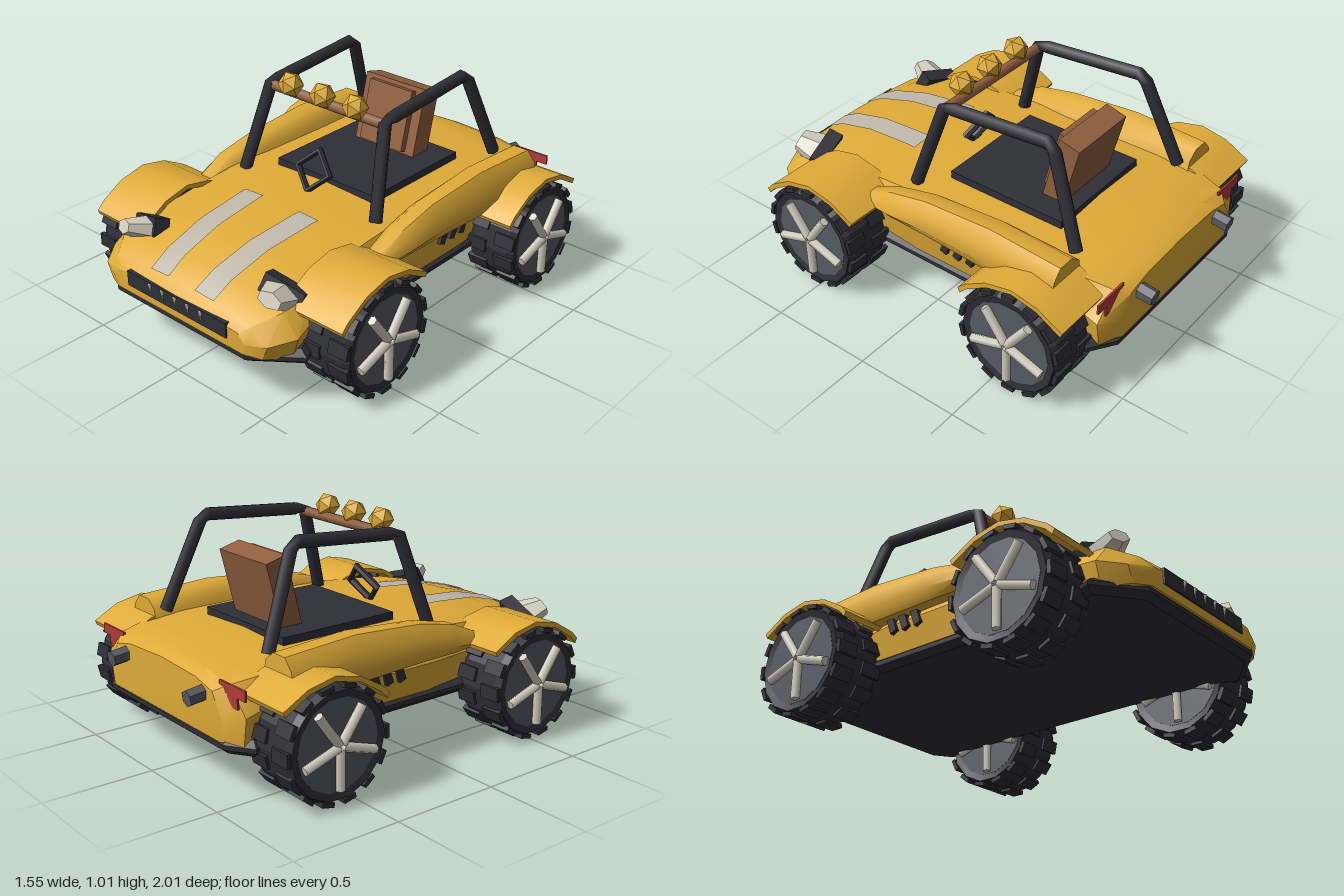
import * as THREE from 'three';
import { toCreasedNormals } from 'three/addons/utils/BufferGeometryUtils.js';

const mat = (name, color, extra = {}) => {
  const m = new THREE.MeshStandardMaterial({ color, ...extra });
  m.name = name;
  return m;
};

// Loft closed rings (counter-clockwise seen from +z) listed from front to back.
function loft(rings, crease = 0.5) {
  const pos = [];
  const tri = (...pts) => pts.forEach((p) => pos.push(p[0], p[1], p[2]));
  const n = rings[0].length;
  for (let k = 0; k + 1 < rings.length; k++) {
    const a = rings[k], b = rings[k + 1];
    for (let i = 0; i < n; i++) {
      const j = (i + 1) % n;
      tri(a[i], b[i], b[j]);
      tri(a[i], b[j], a[j]);
    }
  }
  const f = rings[0], r = rings[rings.length - 1];
  for (let i = 1; i + 1 < n; i++) {
    tri(f[0], f[i], f[i + 1]);
    tri(r[0], r[i + 1], r[i]);
  }
  const g = new THREE.BufferGeometry();
  g.setAttribute('position', new THREE.Float32BufferAttribute(pos, 3));
  return toCreasedNormals(g, crease);
}

export function createModel() {
  const car = new THREE.Group();
  car.name = 'buggy';
  const yellow = mat('yellow paint', 0xdfab38);
  const dark = mat('dark trim', 0x2f2f37);
  const brown = mat('brown leather', 0x91603f);
  const cream = mat('cream metal', 0xd6d1c2);
  const stripe = mat('pale stripe', 0xc0b9ab, { side: THREE.DoubleSide });
  const grey = mat('grey steel', 0x575b64);
  const red = mat('red lamp', 0xb03c3c);

  const add = (name, geo, material, p = [0, 0, 0], r = [0, 0, 0], parent = car) => {
    const m = new THREE.Mesh(geo, material);
    m.name = name;
    m.position.set(...p);
    m.rotation.set(...r);
    parent.add(m);
    return m;
  };
  const box = (x, y, z) => new THREE.BoxGeometry(x, y, z);
  const flat = (g) => toCreasedNormals(g, 0.1);
  // Tube along straight segments between the given points
  const tube = (name, pts, radius, material) => {
    const path = new THREE.CurvePath();
    const v = pts.map((p) => new THREE.Vector3(...p));
    for (let i = 0; i + 1 < v.length; i++) path.add(new THREE.LineCurve3(v[i], v[i + 1]));
    return add(name, new THREE.TubeGeometry(path, 24, radius, 7, false), material);
  };

  // Body: z, bottom width, bottom y, belt width, belt y, shoulder width, shoulder y, centre y
  const body = [
    [0.985, 0.38, 0.26, 0.40, 0.31, 0.36, 0.35, 0.37],
    [0.95, 0.46, 0.25, 0.49, 0.32, 0.41, 0.385, 0.41],
    [0.85, 0.53, 0.24, 0.56, 0.34, 0.48, 0.43, 0.465],
    [0.65, 0.50, 0.24, 0.52, 0.38, 0.46, 0.48, 0.52],
    [0.40, 0.49, 0.24, 0.51, 0.40, 0.46, 0.51, 0.545],
    [0.10, 0.51, 0.24, 0.54, 0.40, 0.46, 0.53, 0.55],
    [-0.30, 0.51, 0.24, 0.54, 0.40, 0.46, 0.53, 0.55],
    [-0.55, 0.49, 0.24, 0.51, 0.40, 0.46, 0.53, 0.55],
    [-0.75, 0.50, 0.24, 0.52, 0.40, 0.46, 0.51, 0.54],
    [-0.88, 0.52, 0.25, 0.54, 0.38, 0.43, 0.49, 0.525],
    [-0.93, 0.42, 0.26, 0.44, 0.36, 0.38, 0.46, 0.50],
  ];
  add('body', loft(body.map(([z, wb, y0, wm, ym, ws, ys, yc]) => {
    const half = [[wb, y0, z], [wm, ym, z], [ws, ys, z], [0.26, yc - 0.012, z]];
    return [...half, [0, yc, z], ...half.map(([x, y]) => [-x, y, z]).reverse()];
  })), yellow);

  // Octagonal floor pan
  const pan = new THREE.Shape([
    [0.38, 0.95], [0.55, 0.82], [0.5, 0.7], [0.5, -0.72], [0.53, -0.84], [0.44, -0.9],
    [-0.44, -0.9], [-0.53, -0.84], [-0.5, -0.72], [-0.5, 0.7], [-0.55, 0.82], [-0.38, 0.95],
  ].map(([x, z]) => new THREE.Vector2(x, -z)).reverse());
  add('floorPan', new THREE.ExtrudeGeometry(pan, {
    depth: 0.02, bevelThickness: 0.025, bevelSize: 0.03, bevelSegments: 1,
  }), dark, [0, 0.235, 0], [-Math.PI / 2, 0, 0]);

  // Bonnet stripes follow the body's top line
  const topY = (z) => {
    let i = 0;
    while (i < body.length - 2 && body[i + 1][0] > z) i++;
    const a = body[i], b = body[i + 1];
    return THREE.MathUtils.lerp(a[7], b[7], (a[0] - z) / (a[0] - b[0]));
  };
  for (const s of [1, -1]) {
    const zs = [0.95, 0.85, 0.65, 0.4, 0.36];
    const pos = [], idx = [];
    zs.forEach((z, i) => {
      const inner = 0.08 + (0.95 - z) * 0.05;
      for (const x of [inner, inner + 0.11]) pos.push(s * x, topY(z) - x * 0.046 + 0.007, z);
      const k = i * 2;
      if (i) idx.push(...(s > 0 ? [k - 2, k - 1, k, k - 1, k + 1, k] : [k - 2, k, k - 1, k - 1, k, k + 1]));
    });
    const g = new THREE.BufferGeometry();
    g.setAttribute('position', new THREE.Float32BufferAttribute(pos, 3));
    g.setIndex(idx);
    g.computeVertexNormals();
    add('bonnetStripe', g, stripe);
  }

  // Raised side pods: z, inner x, outer x, bottom y, top y
  const pods = [
    [0.37, 0.46, 0.57, 0.43, 0.48], [0.2, 0.44, 0.60, 0.43, 0.555], [0, 0.42, 0.605, 0.43, 0.595],
    [-0.35, 0.41, 0.615, 0.42, 0.62], [-0.71, 0.41, 0.62, 0.44, 0.60],
  ];
  // Arched fender outline: offset from the wheel centre in z, height
  const arch = [[0.265, 0.42], [0.23, 0.455], [0.12, 0.52], [-0.01, 0.55], [-0.14, 0.525], [-0.26, 0.46]];
  const fenderShape = new THREE.Shape([
    ...arch, ...arch.map(([z, y]) => [z * 0.96, y - 0.022]).reverse(),
  ].map((p) => new THREE.Vector2(...p)));
  const fender = new THREE.ExtrudeGeometry(fenderShape, { depth: 0.31, bevelEnabled: false });
  fender.rotateY(-Math.PI / 2).translate(0.155, 0, 0);
  const fenderGeo = toCreasedNormals(fender, 0.6);

  // Wheel parts, built around the x axis
  const tyreGeo = toCreasedNormals(new THREE.LatheGeometry([
    [0.19, -0.11], [0.232, -0.12], [0.248, -0.09], [0.248, 0.09], [0.232, 0.12], [0.19, 0.11],
  ].map((p) => new THREE.Vector2(...p)), 14), 0.3);
  tyreGeo.rotateZ(Math.PI / 2);
  const hubGeo = new THREE.CylinderGeometry(0.2, 0.2, 0.228, 14).rotateZ(Math.PI / 2);
  const spokeGeo = new THREE.CylinderGeometry(0.021, 0.021, 0.175, 6).translate(0, 0.098, 0);
  const lugGeo = box(0.1, 0.02, 0.06);

  for (const s of [1, -1]) {
    const side = s > 0 ? 'left' : 'right';
    add(side + 'SidePod', loft(pods.map(([z, xi, xo, yb, yt]) => {
      const h = yt - yb, w = xo - xi;
      const ring = [
        [xi, yb], [xo - 0.03, yb], [xo, yb + h * 0.3], [xo - w * 0.08, yb + h * 0.7],
        [xo - w * 0.28, yt], [xi + w * 0.35, yt], [xi + w * 0.1, yb + h * 0.75],
      ].map(([x, y]) => [s * x, y, z]);
      return s > 0 ? ring : ring.reverse();
    }), 0.8), yellow);

    for (const [end, z] of [['Front', 0.53], ['Rear', -0.59]]) {
      add(side + end + 'Fender', fenderGeo, yellow, [s * 0.585, 0, z]);
      const wheel = new THREE.Group();
      wheel.name = side + end + 'Wheel';
      wheel.position.set(s * 0.63, 0.263, z);
      car.add(wheel);
      add('tyre', tyreGeo, dark, undefined, undefined, wheel);
      add('hub', hubGeo, grey, undefined, undefined, wheel);
      for (const f of [1, -1]) {
        for (let i = 0; i < 5; i++) {
          add('spoke', spokeGeo, cream, [f * 0.127, 0, 0], [Math.PI + (i * Math.PI * 2) / 5, 0, 0], wheel);
        }
        // Staggered tread lugs
        for (let i = 0; i < 14; i++) {
          const a = ((i + (f > 0 ? 0 : 0.5)) * Math.PI * 2) / 14;
          add('treadLug', lugGeo, dark, [f * 0.072, Math.cos(a) * 0.244, Math.sin(a) * 0.244], [a, 0, 0], wheel);
        }
      }
    }

    // Slanted side vents
    for (let i = 0; i < 3; i++) {
      add('sideVent', box(0.03, 0.085, 0.036), dark, [s * 0.537, 0.4, -0.1 - i * 0.07], [-0.35, 0, 0]);
    }
    // Headlight with dark backing
    const lamp = new THREE.Group();
    lamp.name = side + 'Headlight';
    lamp.position.set(s * 0.415, 0.465, 0.8);
    lamp.rotation.set(-0.35, s * 0.3, s * -0.2);
    car.add(lamp);
    add('housing', box(0.19, 0.085, 0.07), dark, [0, 0.005, -0.045], undefined, lamp);
    const lens = new THREE.CylinderGeometry(0.062, 0.1, 0.11, 6).rotateX(Math.PI / 2).scale(0.92, 0.55, 1);
    add('lens', flat(lens), cream, [0, -0.008, 0.035], undefined, lamp);

    // Rear lamps and exhausts
    add('tailLamp', box(0.18, 0.045, 0.009), red, [s * 0.47, 0.48, -0.892]);
    add('tailLampTab', box(0.07, 0.05, 0.009), red, [s * 0.47, 0.435, -0.892]);
    const pipe = new THREE.CylinderGeometry(0.036, 0.036, 0.12, 6);
    add('exhaust', flat(pipe), grey, [s * 0.305, 0.43, -0.942], [Math.PI / 2 - 0.12, 0, 0]);

    // Roll cage side
    tube(side + 'RollBar', [
      [s * 0.395, 0.53, 0.19], [s * 0.335, 0.94, 0.065], [s * 0.335, 0.985, -0.5], [s * 0.395, 0.56, -0.67],
    ], 0.03, dark);
  }

  // Cross bar and roof lamps
  tube('crossBar', [[-0.34, 0.925, 0.065], [0.34, 0.925, 0.065]], 0.024, brown);
  for (const x of [-0.19, 0, 0.19]) {
    add('roofLamp', new THREE.IcosahedronGeometry(0.06, 0), yellow, [x, 0.972, 0.09]);
  }

  // Cockpit deck, seat and steering wheel
  add('cockpitDeck', box(0.58, 0.045, 0.6), dark, [0, 0.55, -0.22]);
  const seat = new THREE.Group();
  seat.name = 'seat';
  seat.position.set(0, 0.55, -0.36);
  seat.rotation.x = -0.25;
  car.add(seat);
  add('seatBack', box(0.35, 0.34, 0.105), brown, [0, 0.17, -0.025], undefined, seat);
  add('seatCushion', box(0.25, 0.29, 0.035), brown, [0, 0.175, 0.042], undefined, seat);
  add('steeringWheel', flat(new THREE.TorusGeometry(0.095, 0.018, 6, 4)), dark, [0, 0.63, 0.15], [-0.46, 0, 0]);

  // Grille with small teeth
  add('grille', box(0.6, 0.07, 0.02), dark, [0, 0.335, 0.982]);
  for (let i = -2; i <= 2; i++) {
    add('grilleTooth', new THREE.ConeGeometry(0.011, 0.045, 5), cream, [i * 0.077, 0.342, 0.992], [Math.PI, 0, 0]);
  }
  return car;
}
